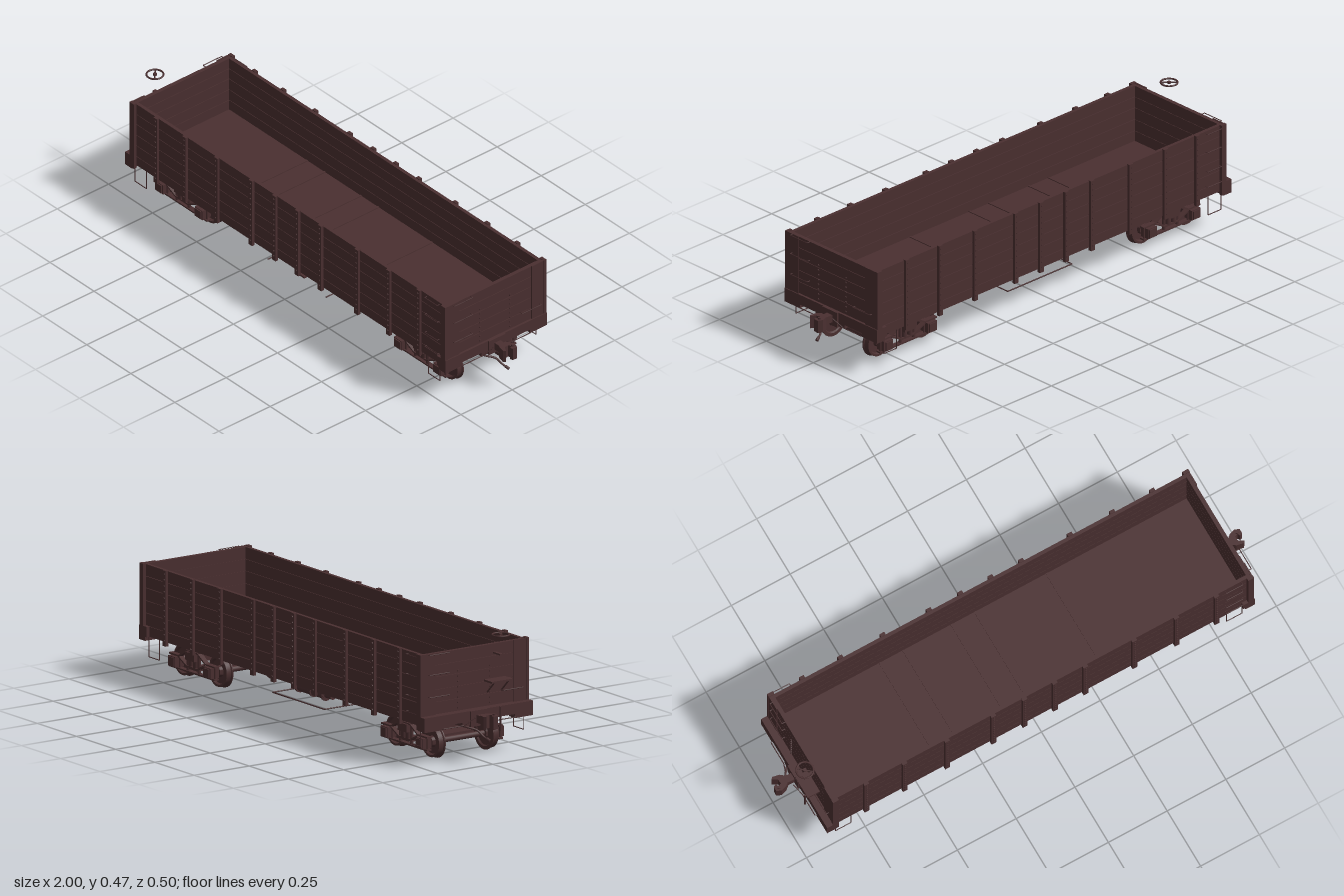
import * as THREE from 'three';
import { toCreasedNormals } from 'three/addons/utils/BufferGeometryUtils.js';

const paint = new THREE.MeshStandardMaterial({ color: 0x4a2f30 });
paint.name = 'oxide brown';

const V = (x, y, z) => new THREE.Vector3(x, y, z);

function add(parent, name, geometry) {
  const mesh = new THREE.Mesh(geometry, paint);
  mesh.name = name;
  parent.add(mesh);
  return mesh;
}

// box given by its minimum and maximum along each axis
function box(parent, name, x0, x1, y0, y1, z0, z1) {
  const m = add(parent, name, new THREE.BoxGeometry(x1 - x0, y1 - y0, z1 - z0));
  m.position.set((x0 + x1) / 2, (y0 + y1) / 2, (z0 + z1) / 2);
  return m;
}

// straight round bar from a to b
function bar(parent, name, a, b, r, sides = 8) {
  const m = add(parent, name, new THREE.CylinderGeometry(r, r, a.distanceTo(b), sides));
  m.position.copy(a).add(b).multiplyScalar(0.5);
  m.quaternion.setFromUnitVectors(V(0, 1, 0), b.clone().sub(a).normalize());
  return m;
}

// bent rod through straight segments
function rod(parent, name, points, r) {
  const g = new THREE.Group();
  g.name = name;
  for (let i = 1; i < points.length; i++) bar(g, name + 'Segment', points[i - 1], points[i], r, 6);
  parent.add(g);
}

const seams = [0.152, 0.192, 0.24, 0.287, 0.335, 0.38, 0.426];
const stakes = [-0.74, -0.577, -0.397, -0.2, -0.067, 0.062, 0.192, 0.4, 0.58, 0.75];

function buildSide(s) {
  const side = new THREE.Group();
  side.name = s > 0 ? 'frontSide' : 'backSide';
  const zBox = (name, x0, x1, y0, y1, za, zb) =>
    box(side, name, x0, x1, y0, y1, Math.min(s * za, s * zb), Math.max(s * za, s * zb));
  zBox('sideCore', -0.879, 0.9, 0.153, 0.425, 0.224, 0.231);
  for (let i = 1; i < seams.length; i++)
    zBox('sidePlank', -0.88, 0.902, seams[i - 1] + 0.001, seams[i] - 0.001, 0.221, 0.235);
  // stakes with pairs of bolt heads
  for (const x of stakes) {
    zBox('stake', x - 0.01, x + 0.01, 0.14, 0.428, 0.233, 0.246);
    for (let i = 1; i < seams.length; i++) for (const dy of [-0.011, 0.011]) {
      const y = (seams[i - 1] + seams[i]) / 2 + dy;
      bar(side, 'bolt', V(x, y, s * 0.245), V(x, y, s * 0.249), 0.004, 6);
    }
  }
  // grab irons by the end, and the hanging corner steps
  for (const y of [0.197, 0.26, 0.34, 0.415]) {
    const x = -0.825 * s + (s > 0 ? 1.65 : -1.65);
    rod(side, 'sideGrabIron', [V(x - 0.035, y, s * 0.234), V(x - 0.035, y, s * 0.246),
      V(x + 0.035, y, s * 0.246), V(x + 0.035, y, s * 0.234)], 0.0016);
  }
  for (const x of [-0.835, 0.83])
    rod(side, 'cornerStep', [V(x - 0.033, 0.155, s * 0.234), V(x - 0.033, 0.076, s * 0.234),
      V(x + 0.033, 0.076, s * 0.234), V(x + 0.033, 0.155, s * 0.234)], 0.0018);
  return side;
}

// end seen in local axes with +x pointing outwards
function buildEnd(name, wall) {
  const end = new THREE.Group();
  end.name = name;
  box(end, 'endCore', wall - 0.014, wall - 0.004, 0.153, 0.425, -0.23, 0.23);
  for (let i = 2; i < seams.length; i++)
    box(end, 'endPlank', wall - 0.016, wall, seams[i - 1] + 0.001, seams[i] - 0.001, -0.234, 0.234);
  for (const s of [-1, 1]) {
    box(end, 'cornerPlate', wall - 0.002, wall + 0.004, 0.19, 0.427, s * 0.206 - 0.029, s * 0.206 + 0.029);
    box(end, 'cornerAngle', wall - 0.02, wall + 0.005, 0.14, 0.428, s * 0.2405 - 0.0065, s * 0.2405 + 0.0065);
    for (let y = 0.205; y < 0.36; y += 0.02)
      bar(end, 'bolt', V(wall - 0.001, y, s * 0.073), V(wall + 0.004, y, s * 0.073), 0.004, 6);
    box(end, 'sillCorner', 0.87, 0.91, 0.137, 0.155, s * 0.206 - 0.041, s * 0.206 + 0.041);
    rod(end, 'uncouplingRod', [V(0.915, 0.142, s * 0.165), V(0.915, 0.142, s * 0.07), V(0.93, 0.17, s * 0.03)], 0.002);
  }
  box(end, 'endSill', 0.86, 0.91, 0.152, 0.192, -0.247, 0.247);
  box(end, 'sillCenter', 0.86, 0.91, 0.137, 0.153, -0.073, 0.073);
  box(end, 'strikerPlate', 0.905, 0.916, 0.132, 0.192, -0.04, 0.04);
  // grab irons
  for (const [y, z0, z1] of [[0.424, 0.12, 0.21], [0.348, 0.12, 0.21], [0.263, 0.12, 0.21], [0.245, -0.213, -0.122]])
    rod(end, 'endGrabIron', [V(wall, y, z0), V(wall + 0.014, y, z0), V(wall + 0.014, y, z1), V(wall, y, z1)], 0.0018);
  // coupler
  box(end, 'couplerShank', 0.9, 0.965, 0.145, 0.175, -0.014, 0.014);
  const head = new THREE.Shape([[0.945, -0.016], [0.957, -0.026], [0.985, -0.032], [0.993, -0.024], [0.972, -0.012],
    [0.97, 0.006], [0.983, 0.012], [0.988, 0], [0.999, 0.004], [1, 0.024], [0.98, 0.032], [0.957, 0.024],
    [0.945, 0.014]].map(p => new THREE.Vector2(p[0], p[1])));
  const headGeo = new THREE.ExtrudeGeometry(head, { depth: 0.05, bevelEnabled: false });
  headGeo.rotateX(-Math.PI / 2);
  add(end, 'couplerHead', headGeo).position.y = 0.133;
  bar(end, 'couplerPin', V(0.984, 0.128, -0.017), V(0.984, 0.189, -0.017), 0.006);
  // air hose
  const hose = new THREE.CatmullRomCurve3([V(0.89, 0.138, 0.07), V(0.915, 0.132, 0.05), V(0.935, 0.122, 0.025),
    V(0.955, 0.1, 0.01), V(0.975, 0.09, 0.003)]);
  add(end, 'airHose', new THREE.TubeGeometry(hose, 16, 0.004, 8));
  bar(end, 'hoseCoupling', V(0.968, 0.094, 0.005), V(0.982, 0.087, 0), 0.006);
  return end;
}

function wheelGeometry() {
  const profile = [[0, 0.106], [0.02, 0.106], [0.022, 0.113], [0.046, 0.114], [0.05, 0.108], [0.063, 0.108],
    [0.063, 0.112], [0.059, 0.116], [0.058, 0.135], [0.05, 0.135], [0.046, 0.125], [0.022, 0.124], [0.019, 0.137], [0, 0.137]];
  const g = new THREE.LatheGeometry(profile.map(p => new THREE.Vector2(p[0], p[1])), 32);
  return toCreasedNormals(g.rotateX(Math.PI / 2), 0.6);
}

function buildTruck(x) {
  const truck = new THREE.Group();
  truck.name = 'truck';
  truck.position.x = x;
  const wheel = wheelGeometry();
  for (const ax of [-0.112, 0.112]) {
    bar(truck, 'axle', V(ax, 0.065, -0.175), V(ax, 0.065, 0.175), 0.011, 16);
    for (const s of [-1, 1]) {
      const w = add(truck, 'wheel', wheel);
      w.position.set(ax, 0.065, 0);
      if (s < 0) w.rotation.y = Math.PI;
      box(truck, 'journalBox', ax - 0.022, ax + 0.022, 0.046, 0.086, s * 0.164 - 0.02, s * 0.164 + 0.02);
      box(truck, 'journalLid', ax - 0.017, ax + 0.017, 0.05, 0.083, s * 0.186 - 0.003, s * 0.186 + 0.003);
      bar(truck, 'journalBolt', V(ax + 0.026, 0.04, s * 0.165), V(ax + 0.026, 0.094, s * 0.165), 0.004, 6);
      bar(truck, 'journalBolt', V(ax - 0.026, 0.04, s * 0.165), V(ax - 0.026, 0.094, s * 0.165), 0.004, 6);
    }
  }
  for (const s of [-1, 1]) {
    // arch bars as flat straps
    const strap = (name, pts) => {
      for (let i = 1; i < pts.length; i++) {
        const [x0, y0] = pts[i - 1], [x1, y1] = pts[i];
        const m = add(truck, name, new THREE.BoxGeometry(Math.hypot(x1 - x0, y1 - y0) + 0.002, 0.006, 0.02));
        m.position.set((x0 + x1) / 2, (y0 + y1) / 2, s * 0.163);
        m.rotation.z = Math.atan2(y1 - y0, x1 - x0);
      }
    };
    strap('upperArchBar', [[-0.145, 0.091], [-0.085, 0.091], [-0.035, 0.121], [0.035, 0.121], [0.085, 0.091], [0.145, 0.091]]);
    strap('lowerArchBar', [[-0.085, 0.087], [-0.035, 0.062], [0.035, 0.062], [0.085, 0.087]]);
    strap('tieBar', [[-0.145, 0.043], [0.145, 0.043]]);
    for (const dx of [-0.034, 0.034])
      bar(truck, 'column', V(dx, 0.04, s * 0.163), V(dx, 0.126, s * 0.163), 0.007);
    for (const dx of [-0.014, 0.014])
      bar(truck, 'spring', V(dx, 0.062, s * 0.163), V(dx, 0.095, s * 0.163), 0.012, 12);
    box(truck, 'bolsterEnd', -0.028, 0.028, 0.09, 0.12, s * 0.165 - 0.018, s * 0.165 + 0.018);
    box(truck, 'sideBearing', -0.025, 0.025, 0.118, 0.153, s * 0.09 - 0.012, s * 0.09 + 0.012);
  }
  // bolster with a bowed underside
  const bow = new THREE.Shape();
  bow.moveTo(-0.155, 0.118);
  bow.lineTo(-0.155, 0.092);
  bow.quadraticCurveTo(0, 0.066, 0.155, 0.092);
  bow.lineTo(0.155, 0.118);
  const bolster = new THREE.ExtrudeGeometry(bow, { depth: 0.05, bevelEnabled: false });
  add(truck, 'bolster', bolster.translate(0, 0, -0.025).rotateY(Math.PI / 2));
  box(truck, 'springPlank', -0.03, 0.03, 0.052, 0.06, -0.165, 0.165);
  bar(truck, 'centerPlate', V(0, 0.115, 0), V(0, 0.155, 0), 0.035, 16);
  return truck;
}

function buildUnderbody() {
  const under = new THREE.Group();
  under.name = 'underbody';
  // truss rods
  for (const z of [-0.07, 0.07])
    rod(under, 'trussRod', [V(-0.56, 0.15, z), V(-0.45, 0.136, z), V(-0.15, 0.113, z), V(0.13, 0.113, z),
      V(0.43, 0.136, z), V(0.56, 0.15, z)], 0.003);
  // brake cylinder and reservoir
  bar(under, 'brakeCylinder', V(-0.11, 0.108, -0.12), V(0.06, 0.108, -0.12), 0.019, 16);
  bar(under, 'cylinderNose', V(-0.15, 0.108, -0.12), V(-0.1, 0.108, -0.12), 0.012, 12);
  bar(under, 'cylinderTail', V(0.05, 0.108, -0.12), V(0.1, 0.108, -0.12), 0.013, 12);
  for (const x of [-0.105, -0.03, 0.06])
    bar(under, 'cylinderFlange', V(x - 0.004, 0.108, -0.12), V(x + 0.004, 0.108, -0.12), 0.024, 16);
  for (const x of [-0.08, 0.035]) box(under, 'cylinderBracket', x - 0.008, x + 0.008, 0.12, 0.154, -0.13, -0.11);
  // low brake rigging
  rod(under, 'brakeRigging', [V(-0.165, 0.07, 0.19), V(-0.165, 0.07, -0.17), V(0.165, 0.07, -0.17), V(0.165, 0.07, 0.19)], 0.0025);
  box(under, 'riggingPlate', -0.015, 0.015, 0.066, 0.073, 0.155, 0.168);
  return under;
}

function buildHandBrake() {
  const brake = new THREE.Group();
  brake.name = 'handBrake';
  const c = V(-0.918, 0.466, 0.094);
  const rim = add(brake, 'handwheelRim', new THREE.TorusGeometry(0.032, 0.0035, 8, 28).rotateX(Math.PI / 2));
  rim.position.copy(c);
  bar(brake, 'handwheelSpoke', V(c.x - 0.024, c.y, c.z - 0.021), V(c.x + 0.024, c.y, c.z + 0.021), 0.003, 6);
  bar(brake, 'handwheelHub', V(c.x, c.y - 0.004, c.z), V(c.x, c.y + 0.004, c.z), 0.007, 10);
  // brackets and foot board on the end wall
  box(brake, 'shaftBracket', -0.924, -0.88, 0.388, 0.394, 0.087, 0.101);
  box(brake, 'footBoard', -0.932, -0.88, 0.288, 0.295, 0.045, 0.14);
  for (const z of [0.06, 0.125])
    rod(brake, 'footBoardBrace', [V(-0.925, 0.289, z), V(-0.88, 0.245, z)], 0.003);
  bar(brake, 'lowerShaft', V(-0.917, 0.1, 0.094), V(-0.917, 0.192, 0.094), 0.004);
  return brake;
}

export function createModel() {
  const car = new THREE.Group();
  car.name = 'openFreightCar';
  // floor with cross strips between its panels
  box(car, 'floor', -0.875, 0.895, 0.152, 0.198, -0.225, 0.225);
  for (const x of [-0.42, -0.32, -0.115, -0.015, 0.29])
    box(car, 'floorStrip', x - 0.004, x + 0.004, 0.197, 0.201, -0.222, 0.222);
  car.add(buildSide(1), buildSide(-1));
  const brakeEnd = buildEnd('brakeEnd', 0.88);
  brakeEnd.rotation.y = Math.PI;
  car.add(buildEnd('plainEnd', 0.902), brakeEnd, buildHandBrake());
  car.add(buildTruck(-0.677), buildTruck(0.677), buildUnderbody());
  return car;
}
